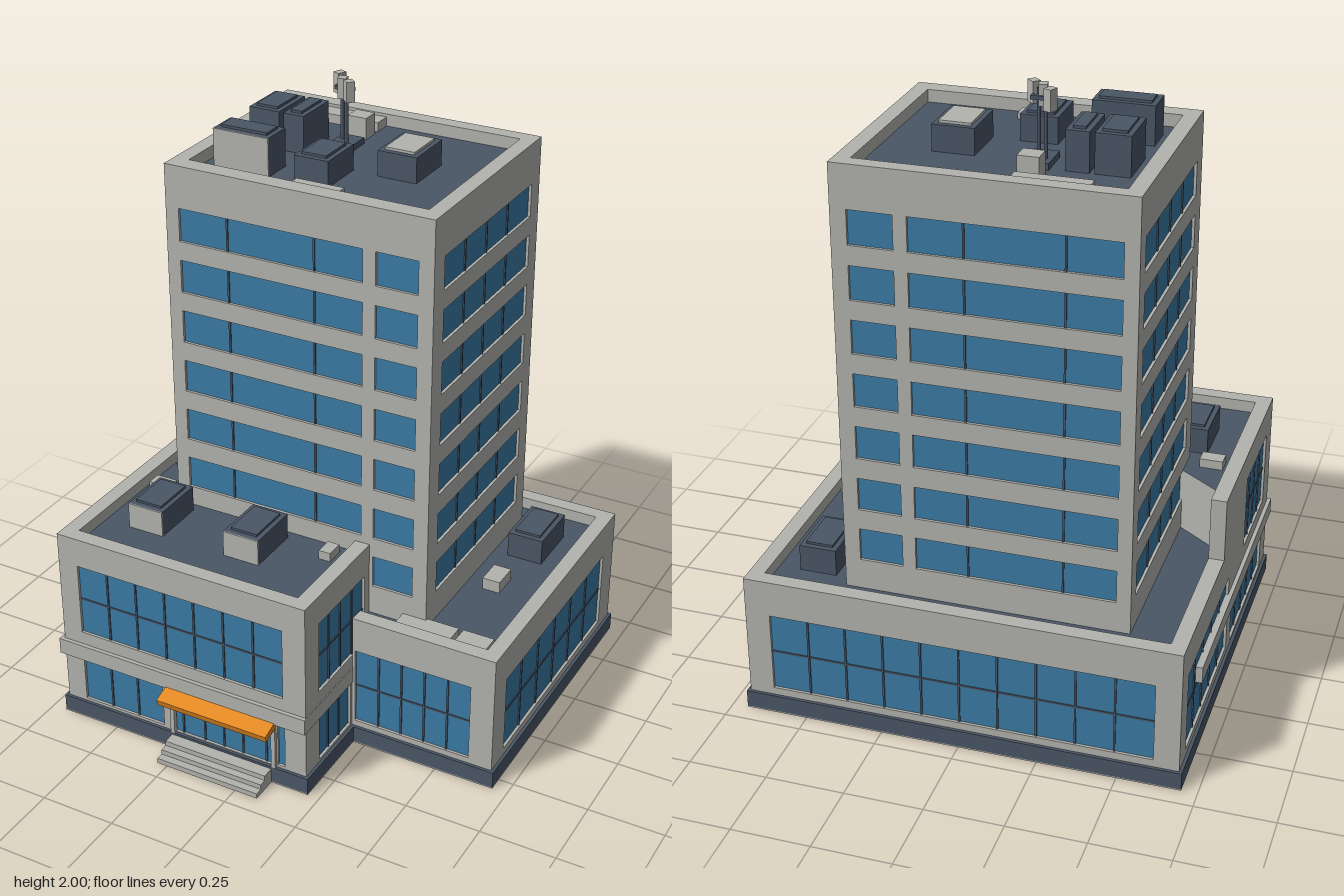
import * as THREE from 'three';

const mat = (name, color) => Object.assign(new THREE.MeshStandardMaterial({ color }), { name });

export function createModel() {
  const concrete = mat('concrete', 0xb2b2ae);
  const slate = mat('slate', 0x4b5666);
  const glass = mat('glass', 0x3a7ba5);
  const orange = mat('orange', 0xe58a24);
  const root = new THREE.Group();
  root.name = 'officeBuilding';

  // Box given by its extents on each axis
  function box(name, m, x0, x1, y0, y1, z0, z1, parent = root) {
    const mesh = new THREE.Mesh(new THREE.BoxGeometry(x1 - x0, y1 - y0, z1 - z0), m);
    mesh.position.set((x0 + x1) / 2, (y0 + y1) / 2, (z0 + z1) / 2);
    mesh.name = name;
    parent.add(mesh);
    return mesh;
  }

  // A window opening: extents along the wall, heights, and number of panes (or bar positions)
  const win = (a0, a1, y0, y1, cols = 1, rows = 1) => ({ a0, a1, y0, y1, cols, rows });
  const divide = (lo, hi, n) => Array.isArray(n) ? n
    : Array.from({ length: n - 1 }, (_, i) => lo + (hi - lo) * (i + 1) / n);

  const sides = { front: [0, 1], right: [Math.PI / 2, -1], back: [Math.PI, -1], left: [-Math.PI / 2, 1] };
  const T = 0.02;

  // Wall panel with recessed glazing; "at" is the position of the outer face
  function wall(name, side, at, a0, a1, y0, y1, windows) {
    const [angle, s] = sides[side];
    const g = new THREE.Group();
    g.name = name;
    const span = (p, q) => [Math.min(s * p, s * q), Math.max(s * p, s * q)];
    const rect = (P, l, r, b, t) => {
      const p = new P();
      p.moveTo(l, b); p.lineTo(r, b); p.lineTo(r, t); p.lineTo(l, t); p.closePath();
      return p;
    };
    const shape = rect(THREE.Shape, ...span(a0, a1), y0, y1);
    for (const w of windows) {
      const [l, r] = span(w.a0, w.a1);
      shape.holes.push(rect(THREE.Path, l, r, w.y0, w.y1));
      box('windowGlass', glass, l, r, w.y0, w.y1, 0.003, 0.011, g);
      for (const c of divide(w.a0, w.a1, w.cols))
        box('mullion', slate, s * c - 0.003, s * c + 0.003, w.y0, w.y1, 0.008, 0.015, g);
      for (const y of divide(w.y0, w.y1, w.rows))
        box('transom', slate, l, r, y - 0.003, y + 0.003, 0.008, 0.014, g);
    }
    const panel = new THREE.Mesh(new THREE.ExtrudeGeometry(shape, { depth: T, bevelEnabled: false }), concrete);
    panel.name = name + 'Panel';
    g.add(panel);
    g.rotation.y = angle;
    const inner = Math.abs(at) - T;
    // A wall faces outward from the centre
    if (side === 'front') g.position.z = inner;
    if (side === 'back') g.position.z = -inner;
    if (side === 'right') g.position.x = inner;
    if (side === 'left') g.position.x = -inner;
    root.add(g);
  }

  // Base plinth with pale underside
  box('plinthUnderside', concrete, -0.7, 0.7, 0, 0.004, -0.69, 0.3);
  box('plinthUndersideFront', concrete, -0.7, 0.21, 0, 0.004, 0.3, 0.6);
  box('plinth', slate, -0.7, 0.7, 0.004, 0.06, -0.69, 0.3);
  box('plinthFront', slate, -0.7, 0.21, 0.004, 0.06, 0.3, 0.6);

  // Low podium
  wall('podiumFrontWall', 'front', 0.29, 0.2, 0.69, 0.06, 0.43, [win(0.21, 0.61, 0.08, 0.35, 5, 2)]);
  wall('podiumRightWall', 'right', 0.69, -0.68, 0.29, 0.06, 0.43, [win(-0.59, 0.2, 0.085, 0.35, 6, 2)]);
  wall('podiumBackWall', 'back', -0.68, -0.69, 0.69, 0.06, 0.43, [win(-0.61, 0.61, 0.085, 0.35, 10, 2)]);
  wall('podiumLeftWall', 'left', -0.69, -0.68, 0, 0.06, 0.43, [win(-0.6, -0.04, 0.085, 0.35, 5, 2)]);
  box('podiumRoof', slate, -0.67, 0.67, 0.41, 0.43, -0.66, 0.27);
  box('podiumParapet', concrete, -0.69, 0.69, 0.43, 0.47, -0.68, -0.63);
  box('podiumParapet', concrete, 0.64, 0.69, 0.43, 0.47, -0.63, 0.29);
  box('podiumParapet', concrete, 0.2, 0.64, 0.43, 0.47, 0.24, 0.29);
  box('podiumParapet', concrete, -0.69, -0.64, 0.43, 0.47, -0.63, 0);

  // Two-storey entrance block
  wall('blockFrontWall', 'front', 0.59, -0.69, 0.2, 0.06, 0.64, [
    win(-0.62, 0.12, 0.33, 0.58, 7, 2), win(-0.62, -0.32, 0.07, 0.225, 3),
    win(-0.28, 0.085, 0.062, 0.21, [-0.25, -0.17, -0.1, -0.03, 0.055]), win(0.1, 0.125, 0.07, 0.225)]);
  wall('blockRightWall', 'right', 0.2, 0.16, 0.59, 0.06, 0.64, [
    win(0.21, 0.505, 0.33, 0.58, 4, 2), win(0.3, 0.505, 0.07, 0.225, 3)]);
  wall('blockLeftWall', 'left', -0.69, 0, 0.59, 0.06, 0.64, [
    win(0.19, 0.505, 0.33, 0.58, 4, 2), win(0.02, 0.505, 0.07, 0.225, 5)]);
  const roofShape = new THREE.Shape([[-0.67, -0.02], [-0.64, -0.02], [-0.49, 0.09], [0.18, 0.09], [0.18, 0.57], [-0.67, 0.57]]
    .map(([x, z]) => new THREE.Vector2(x, -z)));
  const blockRoof = new THREE.Mesh(new THREE.ExtrudeGeometry(roofShape, { depth: 0.21, bevelEnabled: false }), [slate, concrete]);
  blockRoof.rotation.x = -Math.PI / 2;
  blockRoof.position.y = 0.43;
  blockRoof.name = 'blockRoof';
  root.add(blockRoof);
  box('blockParapet', concrete, -0.69, 0.2, 0.64, 0.68, 0.54, 0.59);
  box('blockParapet', concrete, 0.15, 0.2, 0.64, 0.68, 0.17, 0.54);
  box('blockParapet', concrete, -0.69, -0.64, 0.64, 0.68, 0, 0.54);
  box('blockEndWall', concrete, -0.69, -0.64, 0.47, 0.68, -0.14, 0);

  // Ledge between the two storeys
  box('ledgeFront', concrete, -0.703, 0.203, 0.23, 0.285, 0.57, 0.603);
  box('ledgeLeft', concrete, -0.703, -0.67, 0.23, 0.285, -0.46, 0.57);
  box('ledgeRight', concrete, 0.18, 0.203, 0.23, 0.285, 0.27, 0.57);

  // Entrance canopy and steps
  const canopy = box('canopy', orange, -0.3, 0.095, 0.206, 0.23, 0.58, 0.655);
  canopy.rotation.x = 0.3;
  for (const x of [-0.29, 0.08]) box('doorPost', concrete, x, x + 0.015, 0.06, 0.21, 0.585, 0.6);
  [[0.69, 0.018], [0.665, 0.035], [0.64, 0.052]].forEach(([z, y], i) =>
    box('step', concrete, -0.285, 0.08, i * 0.017, y, 0.59, z));

  // Tower
  const rows = [0.585, 0.76, 0.935, 1.108, 1.28, 1.45, 1.62];
  const fullRow = y => [win(-0.455, 0.17, y - 0.054, y + 0.054, [-0.29, 0.006]), win(0.212, 0.35, y - 0.054, y + 0.054)];
  const sideRow = y => win(-0.5, 0.112, y - 0.054, y + 0.054, [-0.338, -0.188, -0.04]);
  wall('towerFrontWall', 'front', 0.18, -0.5, 0.4, 0.43, 1.77, rows.flatMap(fullRow));
  wall('towerBackWall', 'back', -0.56, -0.5, 0.4, 0.43, 1.77, rows.flatMap(fullRow));
  wall('towerRightWall', 'right', 0.4, -0.56, 0.18, 0.43, 1.77, rows.map(sideRow));
  wall('towerLeftWall', 'left', -0.5, -0.56, 0.18, 0.43, 1.77, rows.map(sideRow));
  box('towerRoof', slate, -0.48, 0.38, 1.75, 1.77, -0.54, 0.16);
  for (const [z0, z1] of [[-0.56, -0.51], [0.12, 0.18]]) box('towerParapet', concrete, -0.5, 0.4, 1.77, 1.81, z0, z1);
  for (const [x0, x1] of [[-0.5, -0.45], [0.35, 0.4]]) box('towerParapet', concrete, x0, x1, 1.77, 1.81, -0.51, 0.12);

  // Rooftop units: body, inset lid, optional pale front
  function unit(x0, x1, z0, z1, base, top, lid = slate, paleFront = false) {
    const g = new THREE.Group();
    g.name = 'rooftopUnit';
    root.add(g);
    box('unitBody', slate, x0, x1, base, top - 0.008, z0, z1, g);
    box('unitLid', lid, x0 + 0.016, x1 - 0.016, top - 0.008, top, z0 + 0.018, z1 - 0.018, g);
    if (paleFront) box('unitFront', concrete, x0, x1, base, top - 0.008, z1, z1 + 0.004, g);
  }
  unit(-0.41, -0.305, -0.33, -0.17, 1.77, 1.9);
  unit(-0.29, -0.22, -0.33, -0.17, 1.77, 1.9);
  unit(-0.41, -0.22, -0.06, 0.04, 1.77, 1.9, slate, true);
  unit(-0.14, -0.025, -0.13, 0.03, 1.77, 1.86);
  unit(0.06, 0.19, -0.29, -0.12, 1.77, 1.86, concrete);
  unit(-0.35, -0.29, -0.14, -0.08, 1.77, 1.82);
  unit(-0.55, -0.425, 0.21, 0.39, 0.64, 0.735, slate, true);
  unit(-0.2, -0.075, 0.21, 0.39, 0.64, 0.735, slate, true);
  unit(0.45, 0.57, -0.52, -0.33, 0.43, 0.525);

  // Small pale hatches and ducts
  [[-0.34, -0.11, 1.77, 1.8, -0.51, -0.45], [-0.12, 0.04, 1.77, 1.79, 0.05, 0.1],
    [-0.175, -0.11, 1.77, 1.84, -0.43, -0.37], [0.46, 0.52, 0.43, 0.47, -0.2, -0.11],
    [0.32, 0.51, 0.43, 0.462, 0.17, 0.23], [0.525, 0.63, 0.43, 0.462, 0.17, 0.23],
    [-0.62, -0.545, 0.64, 0.67, 0.12, 0.17], [0.07, 0.11, 0.64, 0.67, 0.21, 0.27],
  ].forEach(e => box('roofHatch', concrete, ...e));

  // Antenna mast
  box('mastBase', slate, -0.175, -0.1, 1.77, 1.79, -0.34, -0.23);
  for (const [x, z] of [[-0.155, -0.3], [-0.125, -0.27]]) {
    const pole = new THREE.Mesh(new THREE.CylinderGeometry(0.006, 0.006, 0.21, 8), slate);
    pole.position.set(x, 1.88, z);
    pole.name = 'mastPole';
    root.add(pole);
  }
  [[-0.17, -0.31], [-0.138, -0.27], [-0.105, -0.25]].forEach(([x, z], i) => {
    const panel = box('antennaPanel', concrete, x - 0.013, x + 0.013, 1.935, 2, z - 0.015, z + 0.015);
    panel.rotation.y = i * 0.6 - 0.4;
  });
  box('antennaArm', slate, -0.17, -0.105, 1.955, 1.967, -0.29, -0.275);

  return root;
}
